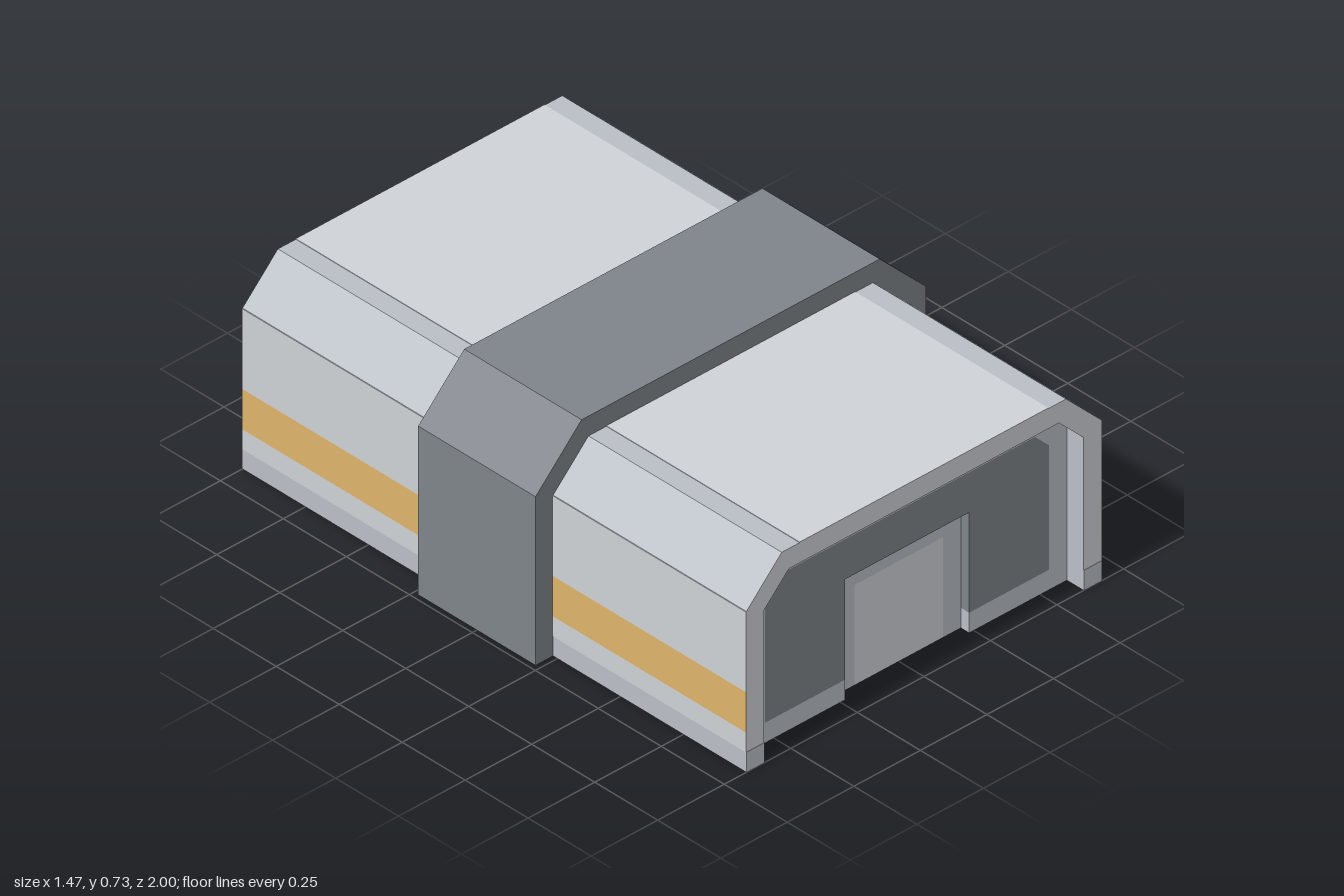
import * as THREE from 'three';

const paint = (color) => new THREE.MeshStandardMaterial({ color });
const light = paint(0xcfd2d6);
const mid = paint(0xbabfc6);
const dark = paint(0x7f848a);
const orange = paint(0xdeb46c);

// Chamfered arch outline from the left foot, over the top, to the right foot.
const arch = (halfWidth, height, cut, foot = 0) => [
  [-halfWidth, foot], [-halfWidth, height - cut], [-halfWidth + cut, height],
  [halfWidth - cut, height], [halfWidth, height - cut], [halfWidth, foot],
];

function extrude(name, points, z0, z1, material) {
  const shape = new THREE.Shape(points.map(([x, y]) => new THREE.Vector2(x, y)));
  const geometry = new THREE.ExtrudeGeometry(shape, { depth: z1 - z0, bevelEnabled: false });
  geometry.translate(0, 0, z0);
  const mesh = new THREE.Mesh(geometry, material);
  mesh.name = name;
  return mesh;
}

function box(name, x0, x1, y0, y1, z0, z1, material) {
  const mesh = new THREE.Mesh(new THREE.BoxGeometry(x1 - x0, y1 - y0, z1 - z0), material);
  mesh.position.set((x0 + x1) / 2, (y0 + y1) / 2, (z0 + z1) / 2);
  mesh.name = name;
  return mesh;
}

// Recessed end wall with a dark panel and a sunken door, facing +z.
function createEnd(name) {
  const end = new THREE.Group();
  end.name = name;
  const back = 0.867, face = 0.933, sunk = 0.9;
  const panel = arch(0.533, 0.533, 0.053, 0.067);

  end.add(extrude('wallBorder', [
    ...arch(0.6, 0.6, 0.093),
    [0.233, 0], [0.233, 0.067], ...[...panel].reverse(), [-0.233, 0.067], [-0.233, 0],
  ], back, face, mid));
  end.add(extrude('wallPanel', [
    ...panel, [0.233, 0.067], [0.233, 0.4], [-0.233, 0.4], [-0.233, 0.067],
  ], back, face, dark));
  end.add(extrude('doorFrame', [
    [-0.233, 0], [-0.233, 0.4], [0.233, 0.4], [0.233, 0],
    [0.167, 0], [0.167, 0.333], [-0.167, 0.333], [-0.167, 0],
  ], back, sunk, mid));
  end.add(box('door', -0.167, 0.167, 0, 0.333, back, sunk, light));

  // Darker feet on the rim
  for (const s of [-1, 1]) {
    end.add(box('rimFoot', s * 0.6335 - 0.0335, s * 0.6335 + 0.0335, 0, 0.067, 0.99, 1.001, mid));
  }
  return end;
}

export function createModel() {
  const model = new THREE.Group();
  model.name = 'corridorModule';
  const hull = arch(0.667, 0.667, 0.133);
  const lining = arch(0.6, 0.6, 0.093).reverse();

  // Hollow shell, open underneath, with light rims
  model.add(extrude('shell', [...hull, ...lining], -1, 1, [light, mid]));

  // Thin painted cladding on the roof and sides
  const skin = 0.002;
  model.add(box('roofPanel', -0.467, 0.467, 0.66, 0.667 + skin, -1, 1, light));
  const stripes = [
    ['lowerSidePanel', 0.067, 0.133, light],
    ['sideStripe', 0.133, 0.267, orange],
    ['upperSidePanel', 0.267, 0.533, light],
  ];
  for (const s of [-1, 1]) {
    for (const [name, y0, y1, material] of stripes) {
      const x = s * (0.664 + skin / 2);
      model.add(box(name, x - 0.004, x + 0.004, y0, y1, -1, 1, material));
    }
  }

  // Raised collar around the middle
  model.add(extrude('collar', [...arch(0.733, 0.733, 0.173), ...[...hull].reverse()], -0.233, 0.233, dark));

  // Matching ends
  const front = createEnd('frontEnd');
  const rear = createEnd('rearEnd');
  rear.rotation.y = Math.PI;
  model.add(front, rear);
  return model;
}
